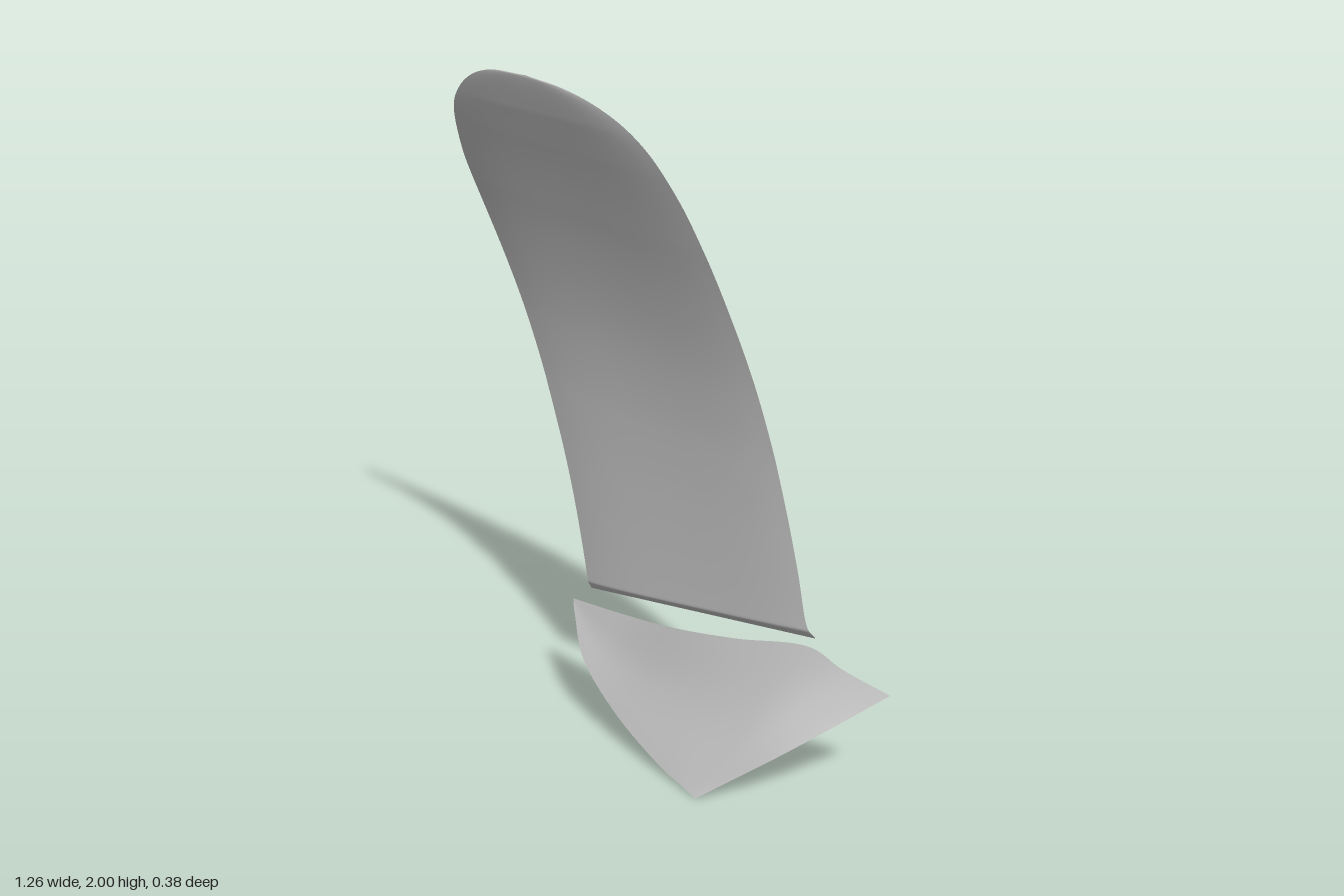
import * as THREE from 'three';

const material = new THREE.MeshStandardMaterial({ color: 0xcccccc, side: THREE.DoubleSide });
const curve = (pts) => new THREE.CatmullRomCurve3(pts.map(([x, y, z = 0]) => new THREE.Vector3(x, y, z)));

// Smooth sheet of nu x nv cells; fn(u, v) gives each point
function sheet(name, nu, nv, fn) {
  const pos = [], index = [];
  for (let j = 0; j <= nv; j++)
    for (let i = 0; i <= nu; i++) pos.push(...fn(i / nu, j / nv).toArray());
  for (let j = 0; j < nv; j++)
    for (let i = 0; i < nu; i++) {
      const a = j * (nu + 1) + i, c = a + nu + 1;
      index.push(a, a + 1, c, a + 1, c + 1, c);
    }
  const geo = new THREE.BufferGeometry();
  geo.setAttribute('position', new THREE.Float32BufferAttribute(pos, 3));
  geo.setIndex(index);
  geo.computeVertexNormals();
  const mesh = new THREE.Mesh(geo, material);
  mesh.name = name;
  return mesh;
}

// Long curved blade: two skins meeting in a thin rim
function makeBlade() {
  const left = curve([[-0.4, 0.34], [-0.405, 0.38], [-0.45, 0.66], [-0.52, 1.0], [-0.595, 1.38], [-0.625, 1.58],
    [-0.63, 1.69], [-0.6, 1.83], [-0.55, 1.9], [-0.48, 1.955], [-0.4, 1.987], [-0.28, 2]]);
  const right = curve([[0.4, 0.49], [0.378, 0.53], [0.35, 0.68], [0.285, 1.0], [0.2, 1.4], [0.155, 1.62],
    [0.12, 1.75], [0.07, 1.86], [0.01, 1.925], [-0.07, 1.968], [-0.17, 1.993], [-0.28, 2]]);
  // Forward sweep of the blade as height -> depth
  const sweep = [[0.3, -0.148], [0.5, -0.145], [0.8, -0.132], [1.0, -0.115], [1.2, -0.084],
    [1.4, -0.034], [1.6, 0.032], [1.8, 0.108], [2.0, 0.188]];
  const depth = (y) => {
    let k = 1;
    while (k < sweep.length - 2 && y > sweep[k + 1][0]) k++;
    // quadratic through three neighbouring points
    const [[a, p], [b, q], [c, r]] = sweep.slice(k - 1, k + 2);
    return p * (y - b) * (y - c) / ((a - b) * (a - c))
      + q * (y - a) * (y - c) / ((b - a) * (b - c))
      + r * (y - a) * (y - b) / ((c - a) * (c - b));
  };
  const skin = (side) => (u, v) => {
    const s = side > 0 ? u : 1 - u;
    const p = left.getPoint(v).lerp(right.getPoint(v), s);
    const rim = (1 - Math.pow(Math.abs(2 * s - 1), 4)) * Math.min(1, v / 0.06) * Math.min(1, (1 - v) / 0.3);
    p.z = depth(p.y) + side * 0.011 * rim - 0.012 * Math.max(0, 1 - v / 0.06);
    return p;
  };
  const blade = new THREE.Group();
  blade.name = 'blade';
  blade.add(sheet('bladeFront', 24, 88, skin(1)), sheet('bladeBack', 24, 88, skin(-1)));
  return blade;
}

// Flared lower plate lofted between its upper edge, middle line and lower edge
function makeLowerPlate() {
  const upper = curve([[-0.4, 0.342, -0.08], [-0.2, 0.378, -0.06], [0, 0.415, -0.05], [0.2, 0.453, -0.068],
    [0.42, 0.493, -0.11], [0.5, 0.442, -0.142], [0.625, 0.387, -0.19]]);
  const middle = curve([[-0.395, 0.334, -0.075], [-0.26, 0.29, -0.035], [-0.08, 0.26, -0.018], [0.11, 0.24, -0.014],
    [0.27, 0.24, -0.02], [0.34, 0.22, -0.015], [0.42, 0.206, -0.03]]);
  const lower = curve([[-0.385, 0.32, -0.066], [-0.3, 0.222, -0.005], [-0.15, 0.115, 0.03], [0.05, 0.03, 0.06],
    [0.12, 0.016, 0.07], [0.16, 0.008, 0.077], [0.185, 0.003, 0.08]]);
  return sheet('lowerPlate', 48, 16, (u, v) =>
    curve([lower, middle, upper].map((c) => c.getPoint(u).toArray())).getPoint(v));
}

export function createModel() {
  const model = new THREE.Group();
  model.name = 'curvedBladeWithPlate';
  model.add(makeBlade(), makeLowerPlate());
  return model;
}
